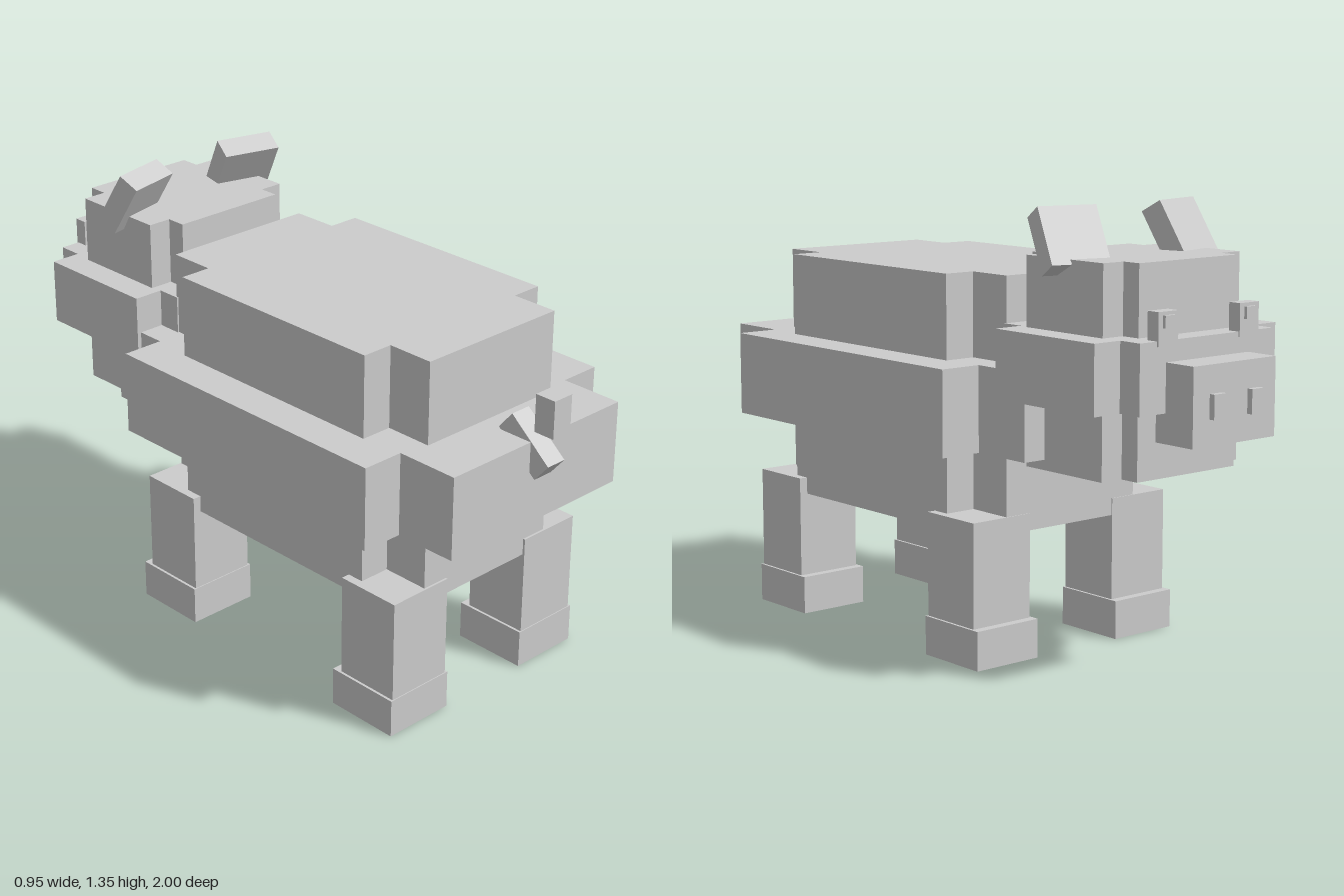
import * as THREE from 'three';

export function createModel() {
  const root = new THREE.Group();
  root.name = 'blockCow';
  const grey = new THREE.MeshStandardMaterial({ color: 0xcccccc });
  grey.name = 'plain grey';

  const add = (name, geometry) => {
    const mesh = new THREE.Mesh(geometry, grey);
    mesh.name = name;
    root.add(mesh);
    return mesh;
  };

  // Box given by its limits on each axis
  const box = (name, x0, x1, y0, y1, z0, z1) => {
    const mesh = add(name, new THREE.BoxGeometry(x1 - x0, y1 - y0, z1 - z0));
    mesh.position.set((x0 + x1) / 2, (y0 + y1) / 2, (z0 + z1) / 2);
    return mesh;
  };

  // Upright block with notched corners: w, d are the half sizes, nx, nz the notch
  const notched = (name, w, nx, d, nz, y0, y1, zc) => {
    const a = w - nx, b = d - nz;
    const corners = [
      [a, -d], [a, -b], [w, -b], [w, b], [a, b], [a, d],
      [-a, d], [-a, b], [-w, b], [-w, -b], [-a, -b], [-a, -d],
    ];
    const shape = new THREE.Shape(corners.map(([x, y]) => new THREE.Vector2(x, y)));
    const g = new THREE.ExtrudeGeometry(shape, { depth: y1 - y0, bevelEnabled: false });
    g.rotateX(-Math.PI / 2);
    add(name, g).position.set(0, y0, zc);
  };

  // Body: tall core with a wider band around it
  notched('bodyCore', 0.353, 0.1, 0.53, 0.15, 0.38, 1.137, 0.21);
  notched('bodyBand', 0.473, 0.133, 0.71, 0.2, 0.63, 0.885, 0.21);

  // Head: same build, smaller
  notched('headCore', 0.265, 0.075, 0.22, 0.062, 0.6, 1.205, -0.58);
  notched('headBand', 0.353, 0.095, 0.282, 0.077, 0.8, 1.0, -0.595);
  box('snout', -0.16, 0.16, 0.715, 0.94, -0.982, -0.84);

  for (const s of [-1, 1]) {
    const side = s > 0 ? 'left' : 'right';
    const mirrored = (name, x0, x1, ...rest) =>
      box(side + name, Math.min(s * x0, s * x1), Math.max(s * x0, s * x1), ...rest);

    // Face details
    mirrored('Nostril', 0.05, 0.097, 0.79, 0.86, -1.0, -0.97);
    mirrored('Eye', 0.12, 0.195, 0.985, 1.08, -0.882, -0.84);
    mirrored('Pupil', 0.137, 0.178, 1.035, 1.07, -0.892, -0.87);

    // Legs and hooves
    for (const [name, z] of [['Front', -0.11], ['Back', 0.75]]) {
      mirrored(name + 'Leg', 0.165, 0.38, 0.11, 0.432, z - 0.213, z - 0.003);
      mirrored(name + 'Hoof', 0.157, 0.388, 0, 0.118, z - 0.24, z);
    }

    // Ear, leaning back and turned outward
    const ear = add(side + 'Ear', new THREE.BoxGeometry(0.185, 0.18, 0.07));
    ear.position.set(s * 0.217, 1.252, -0.547);
    ear.rotation.set(Math.PI / 6, -s * 0.245, 0, 'YXZ');
  }

  // Tail: sloping stem and a separate tuft
  const stem = add('tailStem', new THREE.BoxGeometry(0.068, 0.073, 0.18));
  stem.position.set(0, 0.862, 0.894);
  stem.rotation.x = 0.7;
  box('tailTuft', -0.035, 0.035, 0.922, 1.037, 0.932, 1.0);

  return root;
}
